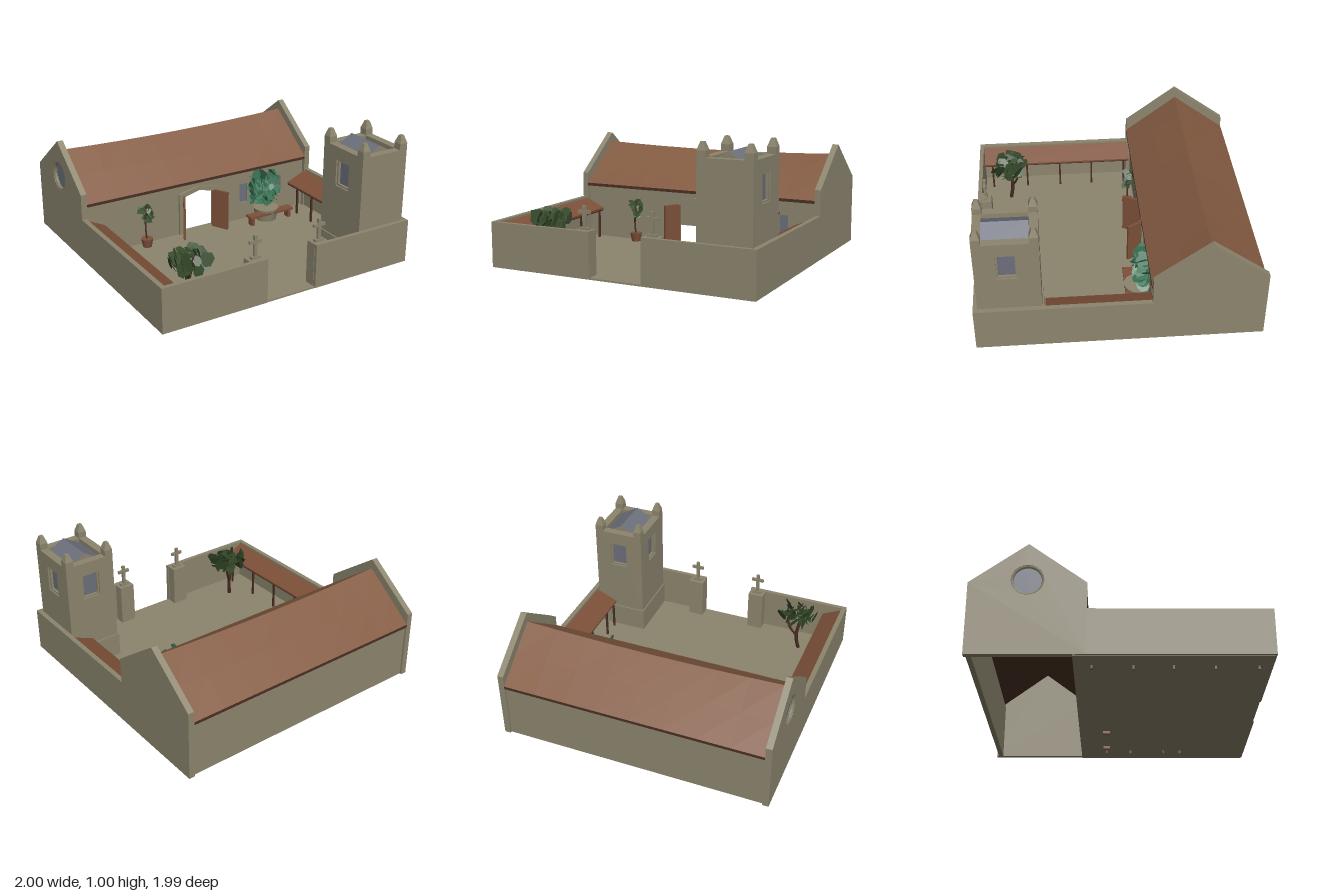
import * as THREE from 'three';

const mat = (name, color, side = THREE.FrontSide) => {
  const m = new THREE.MeshStandardMaterial({ color, side });
  m.name = name;
  return m;
};

export function createModel() {
  const stone = mat('stone', 0x8c856e);
  const tile = mat('roof tile', 0x835a41);
  const darkWood = mat('dark wood', 0x4a2f24);
  const wood = mat('red wood', 0x7d5039);
  const slate = mat('slate', 0x6c707c);
  const oliveLeaf = mat('olive leaf', 0x354a2a, THREE.DoubleSide);
  const tealLeaf = mat('teal leaf', 0x3a7355, THREE.DoubleSide);
  const model = new THREE.Group();

  const add = (name, geo, material, x = 0, y = 0, z = 0, parent = model) => {
    const m = new THREE.Mesh(geo, material);
    m.name = name;
    m.position.set(x, y, z);
    parent.add(m);
    return m;
  };
  // box given by its limits
  const block = (name, material, x0, x1, y0, y1, z0, z1) =>
    add(name, new THREE.BoxGeometry(x1 - x0, y1 - y0, z1 - z0), material,
      (x0 + x1) / 2, (y0 + y1) / 2, (z0 + z1) / 2);
  const poly = (pts, Type = THREE.Shape) => new Type(pts.map(p => new THREE.Vector2(...p)));
  const rect = (x0, x1, y0, y1) => [[x0, y0], [x1, y0], [x1, y1], [x0, y1]];
  const slab = (pts, holes, depth) => {
    const s = poly(pts);
    s.holes.push(...holes);
    return new THREE.ExtrudeGeometry(s, { depth, bevelEnabled: false, curveSegments: 16 });
  };

  // courtyard floor and walls
  block('courtyardFloor', stone, -0.99, 0.99, 0.03, 0.042, -0.3, 0.985);
  for (const s of [-1, 1]) {
    block('sideWall', stone, Math.min(s, s * 0.965), Math.max(s, s * 0.965), 0.035, 0.36, -0.21, 0.995);
  }
  block('frontWallRight', stone, -0.965, -0.205, 0.035, 0.36, 0.965, 0.995);
  block('frontWallLeft', stone, 0.19, 0.965, 0.035, 0.36, 0.965, 0.995);

  // gate pillars with crosses
  for (const x of [-0.27, 0.247]) {
    block('gatePillar', stone, x - 0.06, x + 0.06, 0.04, 0.358, 0.89, 0.97);
    block('crossFoot', stone, x - 0.035, x + 0.035, 0.358, 0.375, 0.92, 0.95);
    block('crossStem', stone, x - 0.012, x + 0.012, 0.36, 0.525, 0.925, 0.945);
    block('crossArms', stone, x - 0.047, x + 0.047, 0.468, 0.49, 0.926, 0.944);
  }

  // church gable walls; one has a round window
  const gable = [[-0.99, 0.035], [-0.21, 0.035], [-0.21, 0.55], [-0.6, 0.84], [-0.99, 0.55]];
  const round = new THREE.Path().absarc(-0.6, 0.57, 0.11, 0, Math.PI * 2);
  add('leftGable', slab(gable, [], 0.045).rotateY(-Math.PI / 2), stone, 1);
  add('rightGable', slab(gable, [round], 0.045).rotateY(-Math.PI / 2), stone, -0.955);
  const ring = add('roundWindowFrame', new THREE.TorusGeometry(0.105, 0.012, 6, 24), stone, -0.985, 0.57, -0.6);
  ring.rotation.y = Math.PI / 2;
  const glass = add('roundWindow', new THREE.CylinderGeometry(0.11, 0.11, 0.008, 24), slate, -0.965, 0.57, -0.6);
  glass.rotation.z = Math.PI / 2;

  // church long walls, with doorway and windows in the front one
  const arch = (w, h, peak) => [[-0.02 - w, 0.04], [-0.02 + w, 0.04], [-0.02 + w, h], [-0.02, peak], [-0.02 - w, h]];
  const churchWindows = [0.39, 0.71];
  add('churchFrontWall', slab(rect(-0.955, 0.955, 0.035, 0.46),
    [poly(arch(0.135, 0.345, 0.38), THREE.Path),
      ...churchWindows.map(x => poly(rect(x - 0.035, x + 0.035, 0.18, 0.34), THREE.Path))], 0.04), stone, 0, 0, -0.28);
  for (const x of churchWindows) block('churchWindow', slate, x - 0.035, x + 0.035, 0.18, 0.34, -0.264, -0.256);
  block('churchBackWall', stone, -0.955, 0.955, 0.035, 0.46, -0.975, -0.94);
  add('doorFrame', slab(arch(0.175, 0.375, 0.412), [poly(arch(0.135, 0.345, 0.38), THREE.Path)], 0.02), stone, 0, 0, -0.242);

  // open door leaves, hinged at the jambs
  for (const s of [-1, 1]) {
    const hinge = new THREE.Group();
    hinge.name = 'doorLeaf';
    hinge.position.set(-0.02 + s * 0.125, 0, -0.24);
    hinge.rotation.y = s * 0.5;
    add('doorPanel', new THREE.BoxGeometry(0.018, 0.31, 0.14), wood, 0, 0.2, 0.07, hinge);
    model.add(hinge);
  }

  // sagging roof: each slope is a box bent by a rule
  const roofSlope = () => {
    const g = new THREE.BoxGeometry(1.91, 1, 1, 8, 1, 2).toNonIndexed();
    const p = g.attributes.position;
    for (let i = 0; i < p.count; i++) {
      const t = p.getZ(i) + 0.5;
      const sag = 0.022 * (1 - (p.getX(i) / 0.955) ** 2);
      p.setY(i, 0.768 - 0.298 * t - sag * (1 - t) - (p.getY(i) < 0 ? 0.022 : 0));
      p.setZ(i, t * 0.392);
    }
    g.computeVertexNormals();
    return g;
  };
  const roofMats = [darkWood, darkWood, tile, darkWood, darkWood, darkWood];
  add('roofFront', roofSlope(), roofMats, 0, 0, -0.6);
  add('roofBack', roofSlope().rotateY(Math.PI), roofMats, 0, 0, -0.6);

  // lean-to porches along the side walls
  const porch = (s, xWall, xEdge, z0, z1, posts) => {
    const pts = [[xWall, 0.345], [xEdge, 0.275], [xEdge, 0.262], [xWall, 0.332]];
    if (s > 0) pts.reverse();
    add('porchRoof', slab(pts, [], z1 - z0), wood, 0, 0, z0);
    const x = xEdge + s * 0.015;
    block('porchBeam', darkWood, x - 0.008, x + 0.008, 0.25, 0.268, z0, z1);
    for (const z of posts) block('porchPost', darkWood, x - 0.007, x + 0.007, 0.005, 0.262, z - 0.007, z + 0.007);
  };
  porch(-1, -0.966, -0.82, -0.22, 0.96, [-0.18, 0.09, 0.35, 0.62, 0.9]);
  porch(1, 0.966, 0.8, -0.22, 0.51, [-0.1, 0.09, 0.35, 0.48]);

  // bell tower: plinth, walls with windows, parapet roof, pinnacles
  const cx = 0.768, cz = 0.748, hx = 0.193, hz = 0.217;
  block('towerPlinth', stone, 0.565, 0.972, 0.03, 0.22, 0.52, 0.97);
  const towerWall = (half, dist, angle, open) => {
    const side = new THREE.Group();
    side.name = 'towerSide';
    side.position.set(cx, 0, cz);
    side.rotation.y = angle;
    const holes = open ? [poly(rect(-0.07, 0.07, 0.61, 0.805), THREE.Path)] : [];
    add('towerWall', slab(rect(-half, half, 0.04, 0.9), holes, 0.06), stone, 0, 0, dist - 0.06, side);
    if (open) {
      add('towerWindow', new THREE.BoxGeometry(0.14, 0.195, 0.008), slate, 0, 0.7075, dist - 0.035, side);
      add('towerWindowFrame', slab(rect(-0.07, 0.07, 0.61, 0.805),
        [poly(rect(-0.057, 0.057, 0.622, 0.793), THREE.Path)], 0.02), stone, 0, 0, dist - 0.032, side);
    }
    model.add(side);
  };
  towerWall(hx, hz, 0, false);
  towerWall(hx, hz, Math.PI, true);
  towerWall(hz - 0.06, hx, Math.PI / 2, true);
  towerWall(hz - 0.06, hx, -Math.PI / 2, true);
  add('towerRoof', slab([[-0.133, 0.84], [0.133, 0.84], [0.133, 0.866], [0, 0.942], [-0.133, 0.866]], [], 0.314),
    [stone, slate], cx, 0, cz - 0.157);
  for (const sx of [-1, 1]) for (const sz of [-1, 1]) {
    const x = cx + sx * (hx - 0.031), z = cz + sz * (hz - 0.031);
    block('pinnacleBase', stone, x - 0.031, x + 0.031, 0.89, 0.945, z - 0.031, z + 0.031);
    add('pinnacleTip', new THREE.CylinderGeometry(0.018, 0.044, 0.055, 4).toNonIndexed().rotateY(Math.PI / 4),
      stone, x, 0.9725, z).geometry.computeVertexNormals();
  }

  // foliage: scattered pointed leaves in an ellipsoid
  let seed = 7;
  const rnd = () => (seed = (seed * 16807) % 2147483647) / 2147483647;
  const leaf = new THREE.ShapeGeometry(poly([[0, -0.5], [0.38, -0.1], [0.3, 0.35], [0, 0.5], [-0.34, 0.2], [-0.3, -0.25]]));
  const foliage = (name, material, count, size, c, r) => {
    const g = new THREE.Group();
    g.name = name;
    for (let i = 0; i < count; i++) {
      const a = rnd() * Math.PI * 2, v = rnd() * 2 - 1, d = 0.5 + 0.5 * rnd(), h = Math.sqrt(1 - v * v);
      const m = add('leaf', leaf, material, c[0] + Math.cos(a) * h * d * r[0], c[1] + v * d * r[1], c[2] + Math.sin(a) * h * d * r[2], g);
      m.rotation.set(-0.4 - rnd() * 1.3, rnd() * 6.28, rnd() * 6.28);
      m.scale.setScalar(size * (0.7 + 0.6 * rnd()));
    }
    model.add(g);
  };
  const stem = (name, pts, r) => add(name, new THREE.TubeGeometry(
    new THREE.CatmullRomCurve3(pts.map(p => new THREE.Vector3(...p))), 8, r, 6), darkWood);

  // corner tree
  stem('treeTrunk', [[-0.69, 0.03, 0.76], [-0.67, 0.17, 0.74], [-0.7, 0.36, 0.75]], 0.014);
  stem('treeBranch', [[-0.67, 0.17, 0.74], [-0.62, 0.27, 0.7], [-0.6, 0.36, 0.7]], 0.009);
  foliage('treeLeaves', oliveLeaf, 44, 0.1, [-0.67, 0.35, 0.75], [0.15, 0.08, 0.12]);

  // potted plant beside the church
  add('pot', new THREE.CylinderGeometry(0.045, 0.032, 0.075, 12), wood, -0.5, 0.07, -0.18);
  stem('pottedStem', [[-0.5, 0.08, -0.18], [-0.51, 0.2, -0.18], [-0.5, 0.36, -0.19]], 0.006);
  foliage('pottedLeaves', oliveLeaf, 18, 0.07, [-0.5, 0.31, -0.185], [0.05, 0.085, 0.04]);

  // bush in a stone basin, with a bench in front
  add('bushBasin', new THREE.CylinderGeometry(0.1, 0.08, 0.1, 16), stone, 0.55, 0.09, -0.155);
  foliage('bushLeaves', tealLeaf, 80, 0.1, [0.55, 0.29, -0.185], [0.15, 0.15, 0.045]);
  block('benchSeat', wood, 0.35, 0.75, 0.105, 0.122, -0.135, -0.062);
  for (const x of [0.38, 0.72]) block('benchLeg', wood, x - 0.012, x + 0.012, 0.01, 0.105, -0.125, -0.072);

  return model;
}
